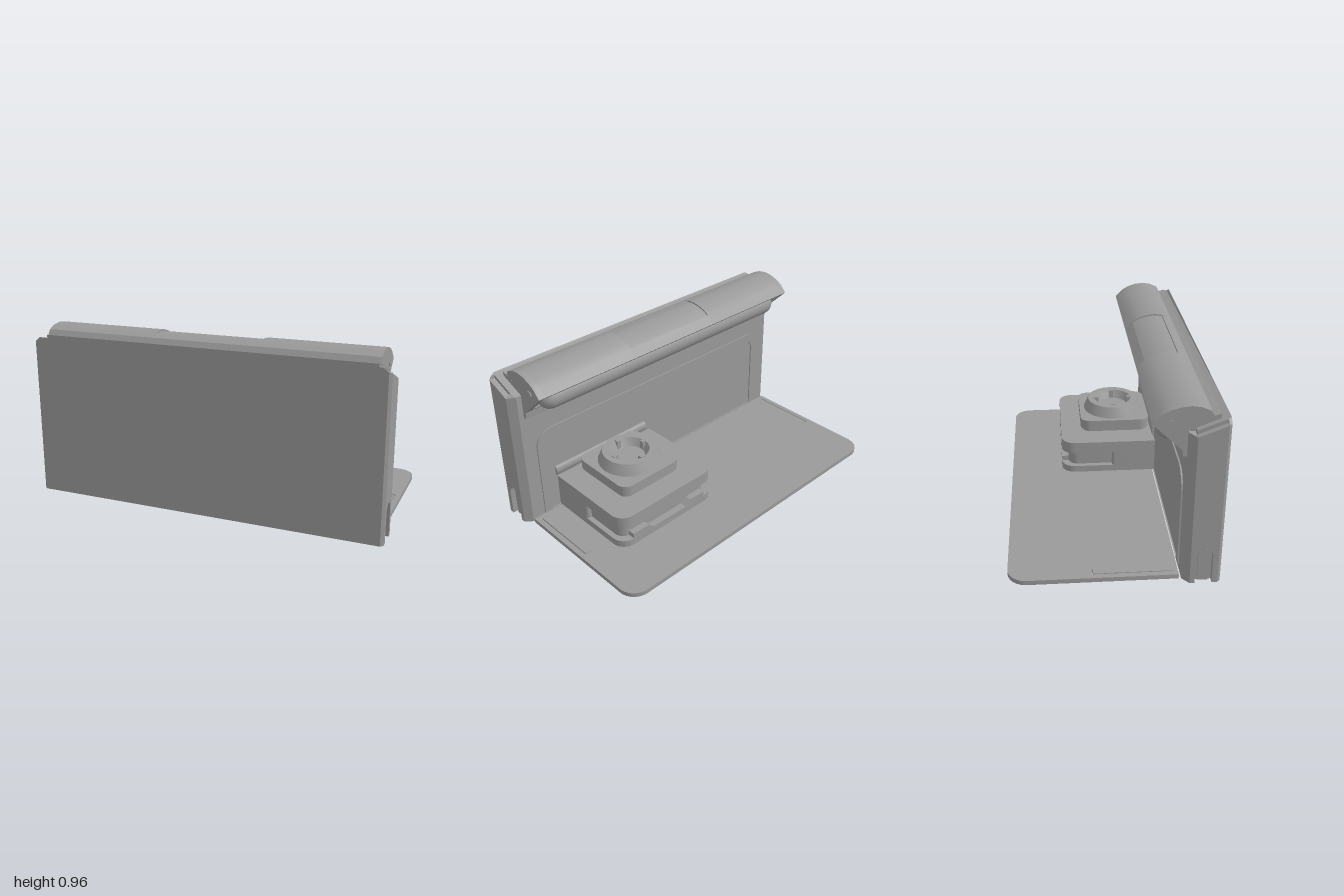
import * as THREE from 'three';
import { toCreasedNormals } from 'three/addons/utils/BufferGeometryUtils.js';

const grey = new THREE.MeshStandardMaterial({ color: 0x999999 });
grey.name = 'plain grey';

function add(parent, name, geometry) {
  const mesh = new THREE.Mesh(toCreasedNormals(geometry, 0.5), grey);
  mesh.name = name;
  parent.add(mesh);
  return mesh;
}

const extrude = (shape, depth) =>
  new THREE.ExtrudeGeometry(shape, { depth, bevelEnabled: false, curveSegments: 10 });

// Profile drawn in (z, y), swept along x from x0 to x1
function alongX(points, x0, x1) {
  const shape = new THREE.Shape(points.map(([z, y]) => new THREE.Vector2(-z, y)));
  return extrude(shape, x1 - x0).rotateY(Math.PI / 2).translate(x0, 0, 0);
}

// Plan drawn in (x, -z), raised from y0 to y1
const raise = (shape, y0, y1) => extrude(shape, y1 - y0).rotateX(-Math.PI / 2).translate(0, y0, 0);

// Plan rectangle with rounded back and front corners
function plan(x0, x1, zBack, zFront, rBack, rFront = 0.001) {
  const s = new THREE.Shape(), b = -zBack, f = -zFront, H = Math.PI / 2;
  s.absarc(x1 - rFront, f + rFront, rFront, -H, 0);
  s.absarc(x1 - rBack, b - rBack, rBack, 0, H);
  s.absarc(x0 + rBack, b - rBack, rBack, H, 2 * H);
  s.absarc(x0 + rFront, f + rFront, rFront, 2 * H, 3 * H);
  return s;
}

const wallTop = z => 0.9 - 0.39 * (0.53 - z);

// Arch outline from floor level, as (z, y) points
function arch(zMid, r, top) {
  const pts = [[zMid + r, 0]];
  for (let i = 0; i <= 12; i++) {
    const a = Math.PI * i / 12;
    pts.push([zMid + r * Math.cos(a), top - r + r * Math.sin(a)]);
  }
  return [...pts, [zMid - r, 0]];
}

function buildWall(g) {
  // Core with chamfered corners, a pocket on each side and a sloping top
  const half = [[0.96, 0.53], [0.985, 0.53], [1, 0.515], [0.97, 0.515], [0.97, 0.375], [1, 0.375], [0.96, 0.34]];
  const outline = [...half, ...half.map(([x, z]) => [-x, z]).reverse()];
  const geo = raise(new THREE.Shape(outline.map(([x, z]) => new THREE.Vector2(x, -z))), 0, 0.9);
  const p = geo.attributes.position;
  for (let i = 0; i < p.count; i++) {
    if (p.getY(i) > 0.5) p.setY(i, wallTop(p.getZ(i)) - (Math.abs(p.getX(i)) > 0.975 ? 0.02 : 0));
  }
  add(g, 'wall', geo);

  // Side cheeks with an arched slot at the foot
  const cheek = [[0.515, 0], ...arch(0.443, 0.043, 0.2), [0.375, 0], [0.375, wallTop(0.375) - 0.02], [0.515, wallTop(0.515) - 0.02]];
  for (const s of [-1, 1]) {
    const x0 = s > 0 ? 0.969 : -1;
    add(g, 'wallCheek', alongX(cheek, x0, x0 + 0.031));
    const xi = s > 0 ? 0.969 : -0.977;
    add(g, 'slotInsert', alongX(arch(0.443, 0.028, 0.185), xi, xi + 0.008));
  }

  // Arched ridge on the back of the wall
  const ridge = (shape, w, top, r) => {
    shape.moveTo(-w, 0.026);
    shape.lineTo(w, 0.026);
    shape.absarc(w - r, top - r, r, 0, Math.PI / 2);
    shape.absarc(-w + r, top - r, r, Math.PI / 2, Math.PI);
    shape.closePath();
    return shape;
  };
  const frame = ridge(new THREE.Shape(), 0.88, 0.565, 0.1);
  const inner = new THREE.Path();
  inner.moveTo(-0.83, 0.0262);
  inner.lineTo(0.83, 0.0262);
  inner.absarc(0.76, 0.455, 0.07, 0, Math.PI / 2);
  inner.absarc(-0.76, 0.455, 0.07, Math.PI / 2, Math.PI);
  inner.closePath();
  frame.holes.push(inner);
  add(g, 'wallRidge', extrude(frame, 0.009).translate(0, 0, 0.332));

  // Hinge bar along the wall
  add(g, 'hingeBar', new THREE.CylinderGeometry(0.03, 0.03, 0.66, 16).rotateZ(Math.PI / 2).scale(1, 1, 0.6).translate(0.45, 0.267, 0.34));
}

function buildBase(g) {
  const s = plan(-0.96, 0.96, -0.53, 0.328, 0.1);
  // Thin L-shaped slits near both ends
  for (const d of [-1, 1]) {
    const pts = [[0.885, -0.105], [0.93, -0.105], [0.93, 0.3], [0.925, 0.3], [0.925, -0.1], [0.885, -0.1]];
    s.holes.push(new THREE.Path(pts.map(([x, z]) => new THREE.Vector2(d * x, -z))));
  }
  add(g, 'basePlate', raise(s, 0, 0.025));
}

function buildDock(g) {
  // Box in layers with a recessed band round the back
  add(g, 'boxBottom', raise(plan(0.08, 0.77, -0.225, 0.341, 0.08), 0.024, 0.065));
  add(g, 'boxCore', raise(plan(0.11, 0.74, -0.185, 0.3, 0.06), 0.064, 0.156));
  add(g, 'boxFront', raise(plan(0.08, 0.77, 0.08, 0.341, 0.015), 0.064, 0.156));
  add(g, 'boxTop', raise(plan(0.08, 0.77, -0.225, 0.341, 0.08), 0.155, 0.225));
  // Raised lips beside the dip at the back
  for (const d of [-1, 1]) {
    const lip = new THREE.Shape();
    [[0.12, 0.065], [0.265, 0.065], [0.265, 0.095], [0.16, 0.095]]
      .forEach(([x, y], i) => lip[i ? 'lineTo' : 'moveTo'](0.425 + d * x, y));
    lip.closePath();
    add(g, 'boxLip', extrude(lip, 0.04).translate(0, 0, -0.224));
  }
  // Platform
  add(g, 'platformFoot', raise(plan(0.23, 0.63, -0.09, 0.31, 0.05, 0.05), 0.224, 0.241));
  add(g, 'platform', raise(plan(0.22, 0.64, -0.102, 0.32, 0.06, 0.06), 0.24, 0.3));

  // Tapered ring with a bowl
  const ring = [[0.183, 0.299], [0.155, 0.362], [0.115, 0.362], [0.09, 0.315], [0, 0.315]];
  const lathe = new THREE.LatheGeometry(ring.map(([r, y]) => new THREE.Vector2(r, y)), 24);
  add(g, 'ring', lathe.translate(0.427, 0, 0.108));
  for (let i = 0; i < 4; i++) {
    const prong = new THREE.BoxGeometry(0.03, 0.05, 0.025).translate(0.105, 0.342, 0);
    add(g, 'ringProng', prong.rotateY(i * Math.PI / 2).translate(0.427, 0, 0.108));
  }
}

function buildHood(g) {
  // Bracket folded over the top of the wall
  add(g, 'hoodBracket', alongX([[0.49, 0.908], [0.49, 0.87], [0.345, 0.815], [0.345, 0.69], [0.32, 0.69], [0.315, 0.73], [0.315, 0.853]], -0.94, 0.93));

  // Hood cross-section, optionally with a lowered top panel and a hollow underside
  const profile = (lowered, hollow) => [
    [0.32, 0.725], [0.315, 0.852], [0.458, 0.9], [0.44, 0.93],
    ...(lowered
      ? [[0.39, 0.95], [0.388, 0.943], [0.35, 0.949], [0.3, 0.943], [0.25, 0.928], [0.215, 0.906], [0.212, 0.914]]
      : [[0.395, 0.95], [0.35, 0.957], [0.3, 0.952], [0.25, 0.936], [0.212, 0.914]]),
    [0.17, 0.87],
    ...(hollow ? [[0.183, 0.857], [0.225, 0.89], [0.32, 0.81], [0.305, 0.74]] : []),
  ];
  const spans = [[-0.955, -0.92, 0, 0], [-0.92, -0.3, 0, 1], [-0.3, 0.3, 1, 1], [0.3, 0.895, 0, 1], [0.895, 0.93, 0, 0]];
  for (const [x0, x1, lowered, hollow] of spans) {
    add(g, lowered ? 'hoodMiddle' : 'hoodSection', alongX(profile(lowered, hollow), x0, x1));
  }

  // Long rounded tube under the hood
  add(g, 'hoodTube', new THREE.CapsuleGeometry(0.068, 1.64, 8, 20).rotateZ(Math.PI / 2).translate(-0.012, 0.805, 0.265));

  // Hexagonal pins on the hood ends
  for (const x of [-0.955, 0.93]) {
    add(g, 'hoodPin', new THREE.CylinderGeometry(0.022, 0.022, 0.01, 6).rotateZ(Math.PI / 2).translate(x, 0.868, 0.255));
  }
}

export function createModel() {
  const model = new THREE.Group();
  model.name = 'dockStand';
  const parts = { wallAssembly: buildWall, base: buildBase, dock: buildDock, hood: buildHood };
  for (const [name, build] of Object.entries(parts)) {
    const g = new THREE.Group();
    g.name = name;
    build(g);
    model.add(g);
  }
  return model;
}
